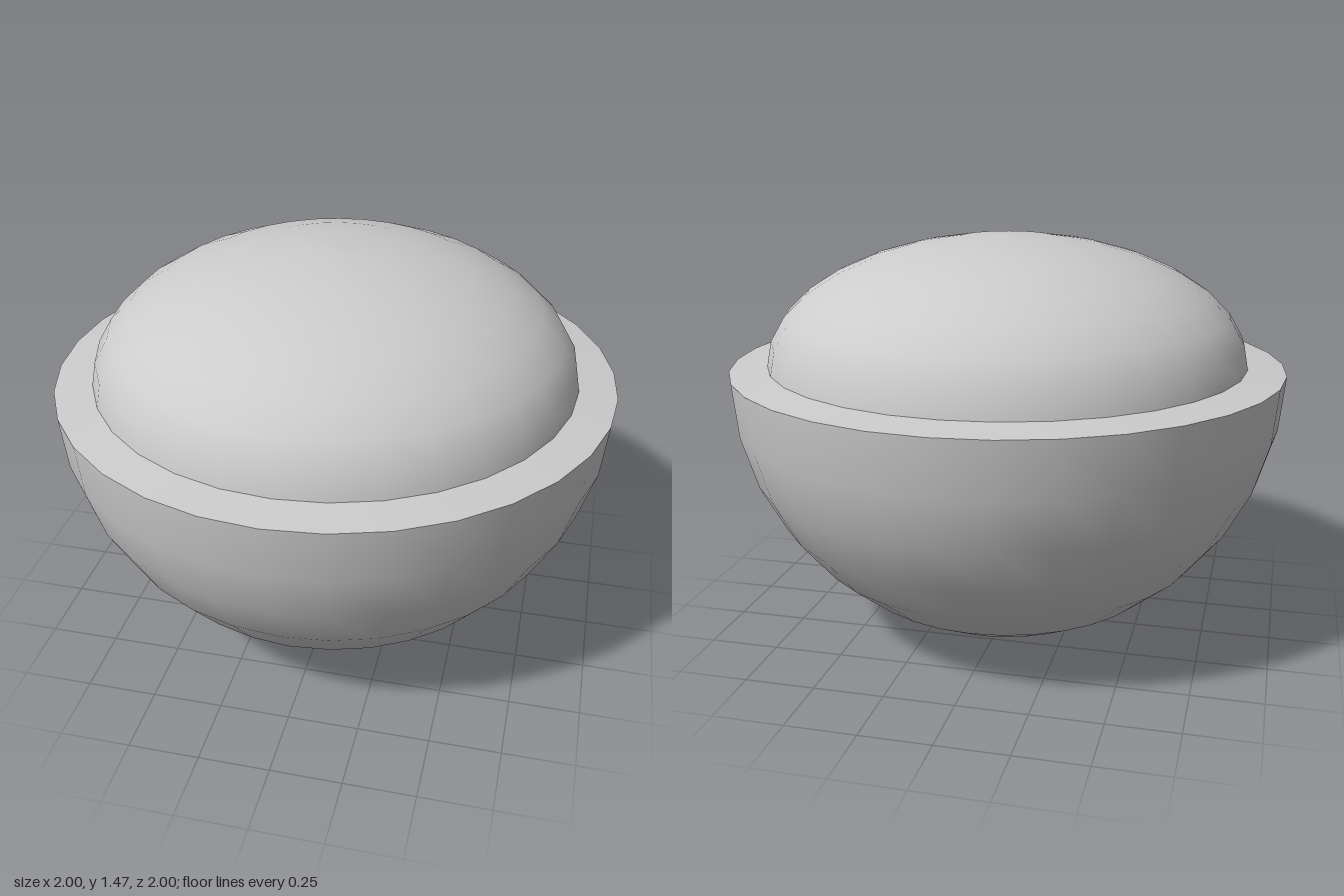
import * as THREE from 'three';

const SIDES = 32, RINGS = 8;
const RIM_RADIUS = 0.865, RIM_Y = 1.015, DOME_HEIGHT = 0.45;

// Quarter-ellipse profile points between two angles, always ordered bottom to top
function arc(radius, height, y, from, to) {
  return Array.from({ length: RINGS + 1 }, (_, i) => {
    const a = from + (to - from) * i / RINGS;
    return new THREE.Vector2(Math.max(0, radius * Math.cos(a)), y + height * Math.sin(a));
  });
}

export function createModel() {
  const group = new THREE.Group();
  group.name = 'domedBowl';
  const material = new THREE.MeshStandardMaterial({ color: 0xcccccc, side: THREE.DoubleSide });

  const addLathe = (name, points) => {
    const mesh = new THREE.Mesh(new THREE.LatheGeometry(points, SIDES), material);
    mesh.name = name;
    group.add(mesh);
  };

  // Hemispherical bowl
  addLathe('bowl', arc(1, 1, 1, -Math.PI / 2, 0));

  // Narrow rim, rising slightly towards the dome
  addLathe('rim', [new THREE.Vector2(1, 1), new THREE.Vector2(RIM_RADIUS, RIM_Y)]);

  // Flattened dome filling the bowl
  addLathe('dome', arc(RIM_RADIUS, DOME_HEIGHT, RIM_Y, 0, Math.PI / 2));

  return group;
}
